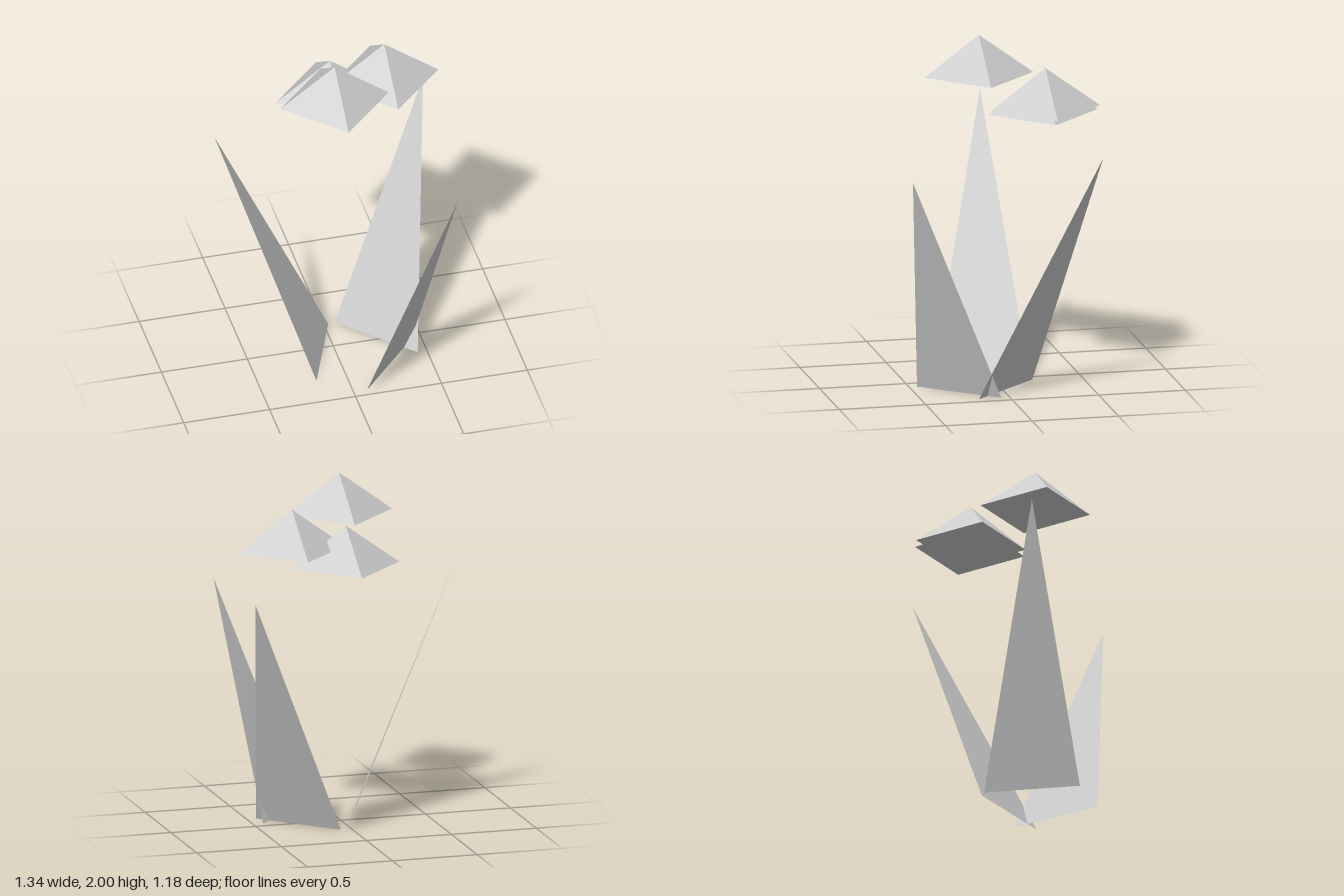
import * as THREE from 'three';

export function createModel() {
  const model = new THREE.Group();
  const grey = new THREE.MeshStandardMaterial({ color: 0xcccccc });
  grey.name = 'light grey';
  grey.side = THREE.DoubleSide;
  grey.flatShading = true;

  // Flat triangular blades leaning outward: two ground corners and a tip
  const blades = [
    ['leftBlade', [0.44, 0, 0.05], [0.08, 0, 0.455], [0.57, 1.31, 0.59]],
    ['rightBlade', [-0.175, 0, 0.3], [0.025, 0, -0.21], [-0.67, 1.52, -0.08]],
    ['backBlade', [0.065, 0, -0.215], [0.445, 0, 0.18], [0.65, 1.41, -0.49]],
  ];
  for (const [name, a, b, tip] of blades) {
    const geometry = new THREE.BufferGeometry();
    geometry.setAttribute('position', new THREE.Float32BufferAttribute([...a, ...b, ...tip], 3));
    geometry.computeVertexNormals();
    const blade = new THREE.Mesh(geometry, grey);
    blade.name = name;
    model.add(blade);
  }

  // Floating four-sided caps, corners on the x and z axes
  const height = 0.233;
  const capGeometry = new THREE.ConeGeometry(0.315, height, 4).translate(0, -height / 2, 0);
  const caps = [
    ['topCap', -0.012, 2, 0.077],
    ['middleCap', 0.355, 1.88, -0.224],
    ['lowerCap', 0.055, 1.78, -0.28],
  ];
  for (const [name, x, y, z] of caps) {
    const cap = new THREE.Mesh(capGeometry, grey);
    cap.name = name;
    cap.position.set(x, y, z);
    model.add(cap);
  }
  return model;
}
